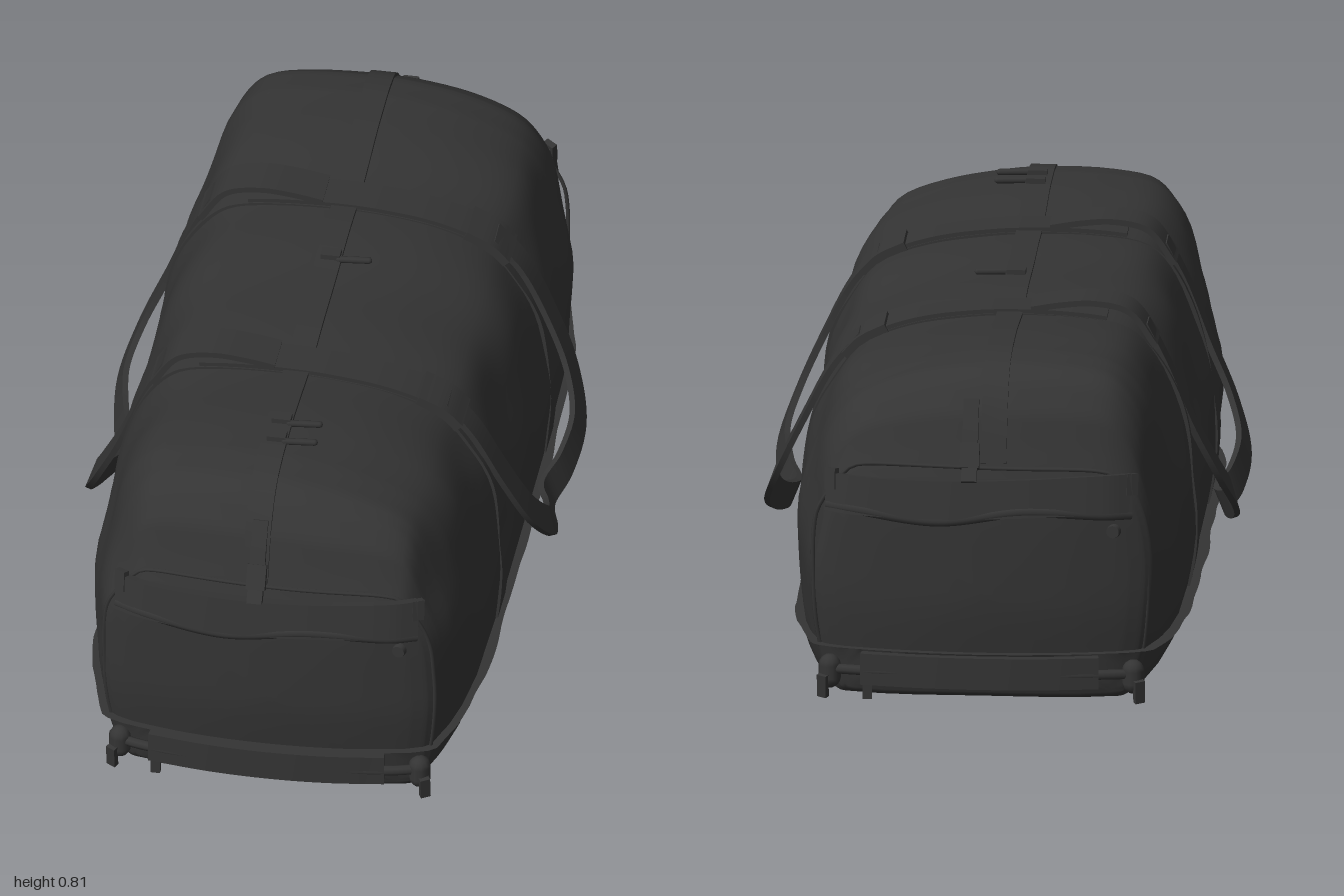
import * as THREE from 'three';
import { toCreasedNormals } from 'three/addons/utils/BufferGeometryUtils.js';

const V = (x, y, z) => new THREE.Vector3(x, y, z);
const { lerp, smoothstep } = THREE.MathUtils;

// Cross-section of the bag, counter-clockwise seen from the front, starting at the bottom centre
const outline = [
  [0, 0.015], [0.3, 0.012], [0.39, 0.02], [0.43, 0.07], [0.452, 0.2], [0.455, 0.35], [0.43, 0.5],
  [0.385, 0.62], [0.325, 0.7], [0.2, 0.755], [0.08, 0.78], [-0.025, 0.79], [-0.2, 0.785], [-0.31, 0.76],
  [-0.375, 0.69], [-0.43, 0.55], [-0.462, 0.4], [-0.46, 0.2], [-0.43, 0.07], [-0.39, 0.02], [-0.3, 0.012],
];
const section = new THREE.CatmullRomCurve3(outline.map(([x, y]) => V(x, y, 0)), true);

// Half-length stations: distance from the middle, width factor, top height, shrink towards the end centre
const stations = [
  [0, 1, 0.775, 1], [0.3, 1, 0.775, 1], [0.6, 0.985, 0.79, 1], [0.72, 0.955, 0.793, 1], [0.8, 0.918, 0.782, 1],
  [0.85, 0.895, 0.752, 1], [0.9, 0.875, 0.688, 1], [0.925, 0.862, 0.615, 1], [0.942, 0.85, 0.57, 1],
  [0.953, 0.84, 0.545, 0.97], [0.96, 0.83, 0.53, 0.88], [0.963, 0.82, 0.52, 0.6], [0.966, 0.82, 0.52, 0],
];
const endZ = 0.966;

// Point on the cloth; k is an index into the outline, z the position along the bag
function surf(k, z) {
  const a = Math.abs(z);
  let i = 0;
  while (i < stations.length - 2 && a > stations[i + 1][0]) i++;
  const p = stations[i], q = stations[i + 1];
  const f = Math.min(1, (a - p[0]) / (q[0] - p[0]));
  const [w, h, s] = [1, 2, 3].map((c) => lerp(p[c], q[c], f));
  const n = outline.length;
  const o = section.getPoint((((k % n) + n) % n) / n);
  // towards the ends the section gets lower and boxier
  let x = o.x * (1 - (1 - w) * smoothstep(Math.abs(o.x), 0.2, 0.44));
  let y = o.y - (0.79 - h) * (Math.max(0, o.y - 0.3) / 0.49) ** 1.8;
  // soft folds above the base
  const fold = s * smoothstep(o.y, 0.12, 0.35) *
    (Math.sin(z * 17 + o.y * 14 + x * 3) * 0.004 + Math.sin(z * 9 - o.y * 21 + x * 7) * 0.004);
  x *= (1 + fold * 2) * s;
  y = 0.27 + (y + fold * 0.7 - 0.27) * s;
  // the ends bulge in the middle and tuck in towards the base
  const tuck = smoothstep(a, 0.78, 0.96) * (0.3 * x * x + 0.02 * (1 - smoothstep(y, 0.03, 0.26)));
  return V(x, y, Math.sign(z) * (a - tuck));
}

// Skin a list of equal closed rings
function loft(rings) {
  const n = rings[0].length, idx = [];
  for (let i = 0; i < rings.length - 1; i++) {
    for (let j = 0; j < n; j++) {
      const a = i * n + j, b = i * n + (j + 1) % n;
      idx.push(a, b, a + n, b, b + n, a + n);
    }
  }
  const g = new THREE.BufferGeometry().setFromPoints(rings.flat());
  g.setIndex(idx);
  g.computeVertexNormals();
  return g;
}

// Flat webbing along a path; out(point) gives the direction its face looks
function ribbon(points, out, width, thick, steps = 48) {
  const curve = new THREE.CatmullRomCurve3(points);
  const rings = [];
  for (let i = 0; i <= steps; i++) {
    const c = curve.getPoint(i / steps), t = curve.getTangent(i / steps);
    const w = out(c).clone().cross(t).normalize();
    const n = t.clone().cross(w).normalize();
    const ring = [[-1, -1], [1, -1], [1, 1], [-1, 1]].map(([a, b]) =>
      c.clone().addScaledVector(w, a * width / 2).addScaledVector(n, b * thick / 2));
    const cap = ring.map(() => c.clone());
    if (i === 0) rings.push(cap);
    rings.push(ring);
    if (i === steps) rings.push(cap);
  }
  return toCreasedNormals(loft(rings), 0.7);
}

export function createModel() {
  const bag = new THREE.Group();
  bag.name = 'duffelBag';
  const cloth = new THREE.MeshStandardMaterial({ color: 0x343434 });
  cloth.name = 'charcoal cloth';
  const add = (parent, name, geo, pos = [0, 0, 0], rot = [0, 0, 0]) => {
    const m = new THREE.Mesh(geo, cloth);
    m.name = name;
    m.position.set(...pos);
    m.rotation.set(...rot);
    parent.add(m);
  };

  // Main body
  const half = [];
  for (let i = 0; i < stations.length - 1; i++) {
    const steps = i < 3 ? 10 : 4;
    for (let s = 0; s < steps; s++) half.push(lerp(stations[i][0], stations[i + 1][0], s / steps));
  }
  half.push(endZ);
  const zs = [...half.slice(1).reverse().map((z) => -z), ...half];
  const count = 84;
  const ringAt = (z) => Array.from({ length: count }, (_, j) => surf(j * outline.length / count, z));
  add(bag, 'body', loft(zs.map(ringAt)));

  // Reinforced base tray, slightly proud of the body
  const tray = zs.map((z) => ringAt(z).map((p) =>
    V(p.x * 1.012, p.y > 0.12 ? 0.122 : p.y - 0.005, p.z * 1.003)));
  add(bag, 'baseTray', toCreasedNormals(loft(tray), 0.8));

  // Zip flap along the top and down both ends
  const zip = [];
  for (let i = 0; i <= 44; i++) {
    const p = surf(11, -0.94 + i * 1.88 / 44);
    zip.push(V(-0.03, p.y + 0.003, p.z));
  }
  add(bag, 'zipFlap', ribbon(zip, (c) => V(0, 1, Math.sign(c.z) * smoothstep(Math.abs(c.z), 0.7, 0.95)), 0.06, 0.01, 90));

  // Zip pulls
  for (const z of [-0.08, 0.6, 0.67]) {
    const y = surf(11, z).y + 0.012;
    add(bag, 'zipSlider', new THREE.BoxGeometry(0.045, 0.016, 0.03), [-0.025, y, z]);
    add(bag, 'zipPull', new THREE.CapsuleGeometry(0.008, 0.07, 3, 8), [0.03, y - 0.003, z + 0.008], [0, 0.1, Math.PI / 2]);
  }

  // Webbing around the body
  const radial = (c) => V(c.x, (c.y - 0.3) * 1.3, 0);
  for (const z of [-0.33, 0.33]) {
    const band = (from, to) => {
      const pts = [];
      for (let k = from; k <= to; k += 0.5) pts.push(surf(k, z));
      return pts;
    };
    add(bag, 'bodyStrap', ribbon(band(3.5, 18), radial, 0.1, 0.01, 80));
    add(bag, 'topStrap', ribbon(band(8, 12.5), radial, 0.094, 0.03));
    // stitched cuff on the left, strap lifting off the cloth on the right
    add(bag, 'handleCuff', ribbon(band(7.6, 8.6), radial, 0.108, 0.045, 12));
    const lifted = [[-0.08, 0.788], [-0.15, 0.8], [-0.23, 0.805], [-0.31, 0.785], [-0.37, 0.705]];
    add(bag, 'liftedStrap', ribbon(lifted.map(([x, y]) => V(x, y, z)), radial, 0.1, 0.014, 24));
  }

  // Carry handles hanging in a U on both sides
  const handleTops = { leftHandle: [[0.32, 0.712, 0.33], [0.385, 0.635, 0.332]], rightHandle: [[0.345, 0.75, 0.33], [0.395, 0.65, 0.332]] };
  for (const [name, top] of Object.entries(handleTops)) {
    const side = name === 'leftHandle' ? 1 : -1;
    const arm = [...top, [0.45, 0.51, 0.322], [0.507, 0.385, 0.285], [0.538, 0.295, 0.205], [0.525, 0.24, 0.1]];
    const path = [
      ...arm.map(([x, y, z]) => V(side * x, y, z)),
      V(side * 0.5, 0.222, 0),
      ...arm.slice().reverse().map(([x, y, z]) => V(side * x, y, -z)),
    ];
    add(bag, name, ribbon(path, () => V(side, 0.4, 0), 0.07, 0.014, 80));
  }

  // Both ends carry the same fittings
  for (const back of [false, true]) {
    const end = new THREE.Group();
    end.name = back ? 'backEnd' : 'frontEnd';
    end.rotation.y = back ? Math.PI : 0;
    bag.add(end);

    // Piping round the end panel
    const rim = Array.from({ length: 42 }, (_, j) => surf(j / 2, 0.942));
    add(end, 'piping', new THREE.TubeGeometry(new THREE.CatmullRomCurve3(rim, true), 120, 0.005, 6, true));

    // Pocket flap with a drooping lower lip
    const flap = [[-0.36, 0.5, 0.918], [-0.29, 0.498, 0.944], [-0.1, 0.498, 0.969], [0.1, 0.505, 0.971], [0.29, 0.512, 0.946], [0.35, 0.51, 0.92]];
    add(end, 'pocketFlap', ribbon(flap.map((p) => V(...p)), () => V(0, 0.15, 1), 0.09, 0.02));
    const lip = flap.map(([x, y, z]) => V(x, y - 0.04 + 0.01 * Math.sin(x * 14), z + 0.004));
    add(end, 'pocketLip', new THREE.TubeGeometry(new THREE.CatmullRomCurve3(lip), 40, 0.014, 8));
    add(end, 'pocketStud', new THREE.CylinderGeometry(0.015, 0.017, 0.014, 14), [0.31, 0.42, 0.937], [Math.PI / 2, 0, 0.18]);

    // Closing tab and buckle over the sloping end
    const tab = [[0.72, 0.886], [0.66, 0.918], [0.6, 0.945], [0.545, 0.98]].map(([y, z]) => V(-0.025, y, z));
    add(end, 'closingTab', ribbon(tab, () => V(0, 0.5, 0.8), 0.036, 0.018, 16));
    add(end, 'buckle', new THREE.BoxGeometry(0.045, 0.06, 0.022), [-0.025, 0.6, 0.948], [-0.5, 0, 0]);

    // Padded grab handle low on the end, with its webbing
    const grab = [[-0.28, 0.938], [-0.14, 0.956], [0, 0.962], [0.14, 0.956], [0.275, 0.938]];
    add(end, 'grabHandle', ribbon(grab.map(([x, z]) => V(x, 0.076, z)), () => V(0, 0, 1), 0.076, 0.024, 20));
    add(end, 'grabWebbing', new THREE.TubeGeometry(new THREE.CatmullRomCurve3(
      [V(-0.375, 0.065, 0.905), V(-0.28, 0.07, 0.938), V(0, 0.07, 0.96), V(0.28, 0.07, 0.938), V(0.375, 0.065, 0.905)]), 40, 0.012, 8));
    add(end, 'looseStrapEnd', new THREE.BoxGeometry(0.022, 0.06, 0.012), [-0.265, 0.033, 0.942]);

    // Corner tabs with small hanging loops
    for (const s of [1, -1]) {
      add(end, 'cornerTab', new THREE.CapsuleGeometry(0.026, 0.03, 4, 10), [s * 0.355, 0.06, 0.912]);
      add(end, 'cornerLoop', new THREE.BoxGeometry(0.024, 0.055, 0.014), [s * 0.37, 0.029, 0.932], [0.15, s * 0.5, 0]);
      add(end, 'upperCornerTab', new THREE.BoxGeometry(0.03, 0.05, 0.016), [s * 0.35, 0.53, 0.918], [-0.2, s * 0.6, 0]);
    }
  }
  return bag;
}
